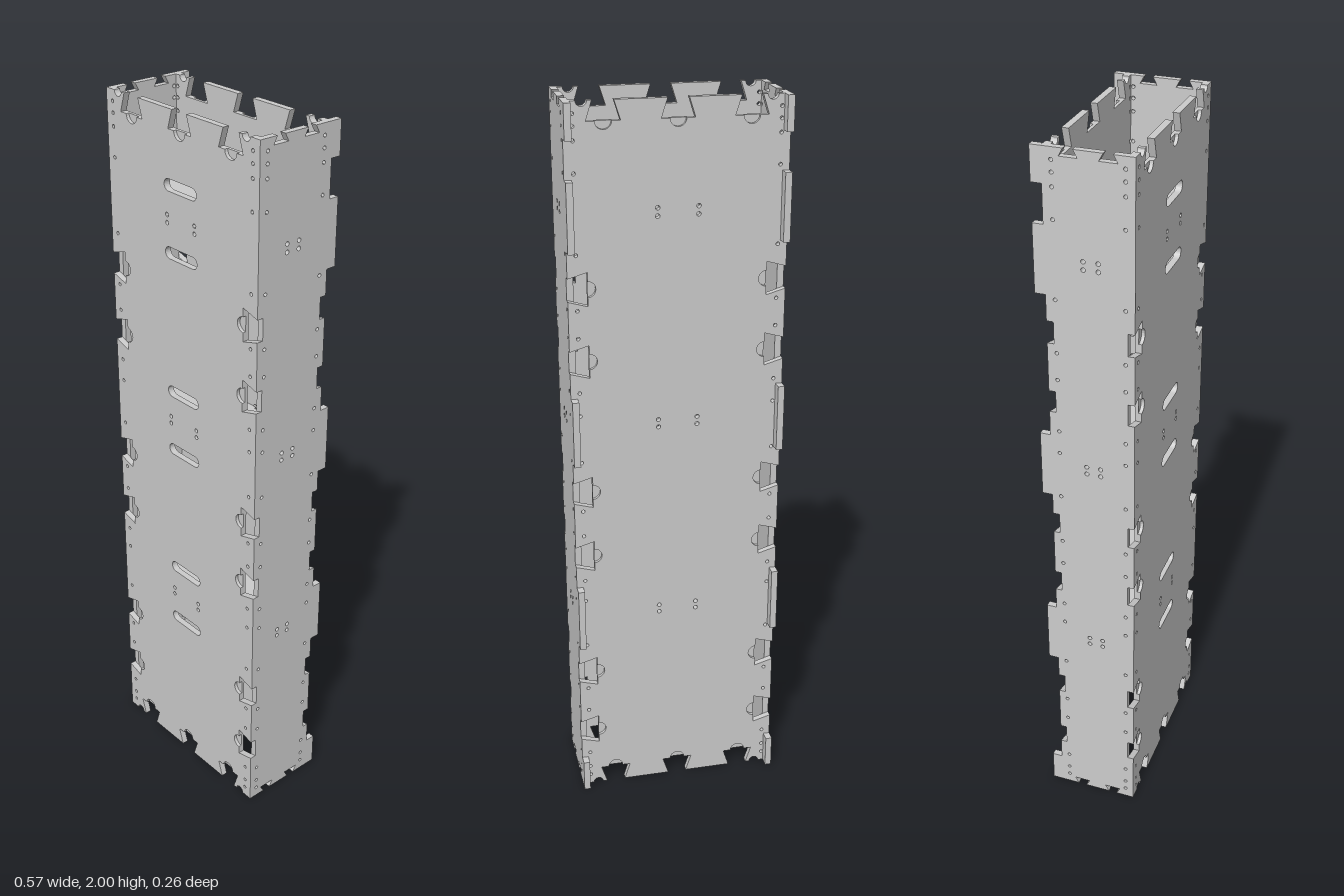
import * as THREE from 'three';

const H = 2, W = 0.287, T = 0.018;
const mat = new THREE.MeshStandardMaterial({ color: 0xcccccc, flatShading: true, side: THREE.DoubleSide });

const socketYs = [0.19, 0.39, 0.765, 0.96, 1.335, 1.53];
const tieYs = [0.03, 0.06, 0.11, 0.26, 0.335, 0.48, 0.625, 0.69, 0.83, 0.905, 1.05, 1.185, 1.25, 1.4, 1.475, 1.62, 1.825, 1.905, 1.94, 1.97];
const shelfYs = [0.576, 1.147, 1.72];

// Walks edge a -> b (counter-clockwise outline), cutting notches into it.
// Notch: s = distance along edge, o/i = half width outside/inside, d = depth, r = round relief
function edge(a, b, notches) {
  const dir = b.clone().sub(a).normalize(), n = new THREE.Vector2(-dir.y, dir.x);
  const at = (s, d) => a.clone().addScaledVector(dir, s).addScaledVector(n, d);
  const pts = [a];
  for (const { s, o = 0, i = 0, d = 0, r = 0 } of [...notches].sort((p, q) => p.s - q.s)) {
    if (d) pts.push(at(s - o, 0), at(s - i, d));
    if (r) for (let k = 0; k <= 10; k++) {
      const t = Math.PI * k / 10;
      pts.push(at(s - r * Math.cos(t), d + r * Math.sin(t)));
    }
    if (d) pts.push(at(s + i, d), at(s + o, 0));
  }
  return pts;
}

// Rectangular panel outline from x0 to x1 with notches on bottom, right, top, left
function outline(x0, x1, y0, y1, bottom, right, top, left) {
  const V = (x, y) => new THREE.Vector2(x, y);
  const c = [V(x0, y0), V(x1, y0), V(x1, y1), V(x0, y1)];
  return new THREE.Shape([bottom, right, top, left].flatMap((f, k) => edge(c[k], c[(k + 1) % 4], f)));
}

function addHole(shape, x, y, r = 0.005) {
  shape.holes.push(new THREE.Path().absarc(x, y, r, 0, Math.PI * 2, true));
}

function addSlot(shape, y, half = 0.062, r = 0.016) {
  const p = new THREE.Path();
  p.absarc(half - r, y, r, -Math.PI / 2, Math.PI / 2, false);
  p.absarc(-half + r, y, r, Math.PI / 2, Math.PI * 1.5, false);
  p.closePath();
  shape.holes.push(p);
}

const extrude = (shape, depth) =>
  new THREE.ExtrudeGeometry(shape, { depth, bevelEnabled: false, curveSegments: 6 });

function add(parent, name, geometry) {
  const mesh = new THREE.Mesh(geometry, mat);
  mesh.name = name;
  parent.add(mesh);
  return mesh;
}

// Wide panel with dovetail sockets; the outer layer adds round half-depth reliefs
function wideShape(relief, slots) {
  const r = relief ? 0.021 : 0;
  const ends = [-0.187, 0, 0.187].map(x => ({ s: x + W, o: 0.027, i: 0.043, d: 0.05, r }));
  ends.push(...[-0.24, 0.24].map(x => ({ s: x + W, r: 0.014 })));
  const sides = socketYs.map(y => ({ s: y, o: 0.03, i: 0.045, d: 0.052, r }));
  const flipped = sides.map(f => ({ ...f, s: H - f.s }));
  const shape = outline(-W, W, 0, H, ends, sides, ends, flipped);
  for (const sx of [-1, 1]) {
    tieYs.forEach(y => addHole(shape, sx * 0.263, y));
    for (const y of shelfYs) for (const dy of [-0.0105, 0.0105]) addHole(shape, sx * 0.053, y + dy, 0.006);
  }
  if (slots) for (const y of shelfYs) for (const dy of [-0.089, 0.089]) addSlot(shape, y + dy);
  return shape;
}

function widePanel(name, zOuter, sign, slots) {
  const g = new THREE.Group();
  g.name = name;
  for (const outer of [true, false]) {
    const mesh = add(g, name + (outer ? 'OuterLayer' : 'InnerLayer'), extrude(wideShape(outer, slots), T / 2));
    const centre = zOuter - sign * T * (outer ? 0.25 : 0.75);
    mesh.position.z = centre - T / 4;
  }
  return g;
}

// Narrow side panel, drawn with u = -z, with finger tabs along the rear edge
function sideGeometry() {
  const u0 = -0.11, u1 = 0.128;
  const gaps = [[0.095, 0.485], [0.67, 1.05], [1.235, 1.63], [1.81, 1.91]]
    .map(([a, b]) => ({ s: (a + b) / 2, o: (b - a) / 2, i: (b - a) / 2, d: u1 - 0.082 }));
  const ends = us => us.map(s => ({ s, o: 0.012, i: 0.023, d: 0.02 }));
  const us = [-0.063, 0.034];
  const shape = outline(u0, u1, 0, H, ends(us.map(u => u - u0)), gaps, ends(us.map(u => u1 - u)), []);
  tieYs.forEach(y => { addHole(shape, -0.104, y); addHole(shape, 0.0755, y); });
  for (const y of shelfYs) for (const dy of [-0.0105, 0.0105])
    for (const u of [-0.036, 0.002]) addHole(shape, u, y + dy, 0.006);
  return extrude(shape, T).rotateY(Math.PI / 2);
}

// Shelf with small tie notches on each edge (shape y = -z)
function shelfGeometry() {
  const w = W - T, y0 = -0.11, y1 = 0.082;
  const notch = s => ({ s, o: 0.006, i: 0.006, d: 0.007 });
  const long = [w - 0.063, w + 0.063].map(notch);
  const short = [-0.043, 0.016];
  const shape = outline(-w, w, y0, y1, long, short.map(v => notch(v - y0)), long, short.map(v => notch(y1 - v)));
  return extrude(shape, T).rotateX(-Math.PI / 2);
}

export function createModel() {
  const model = new THREE.Group();
  model.name = 'panelColumn';
  model.add(widePanel('frontPanel', 0.128, 1, true));
  model.add(widePanel('backPanel', -0.1, -1, false));

  const side = sideGeometry();
  add(model, 'leftPanel', side).position.x = W - T;
  add(model, 'rightPanel', side).position.x = -W;

  const shelf = shelfGeometry();
  shelfYs.forEach((y, k) => {
    add(model, 'shelf' + (k + 1), shelf).position.y = y - T / 2 + (k === 2 ? 0.012 : 0);
  });
  return model;
}
